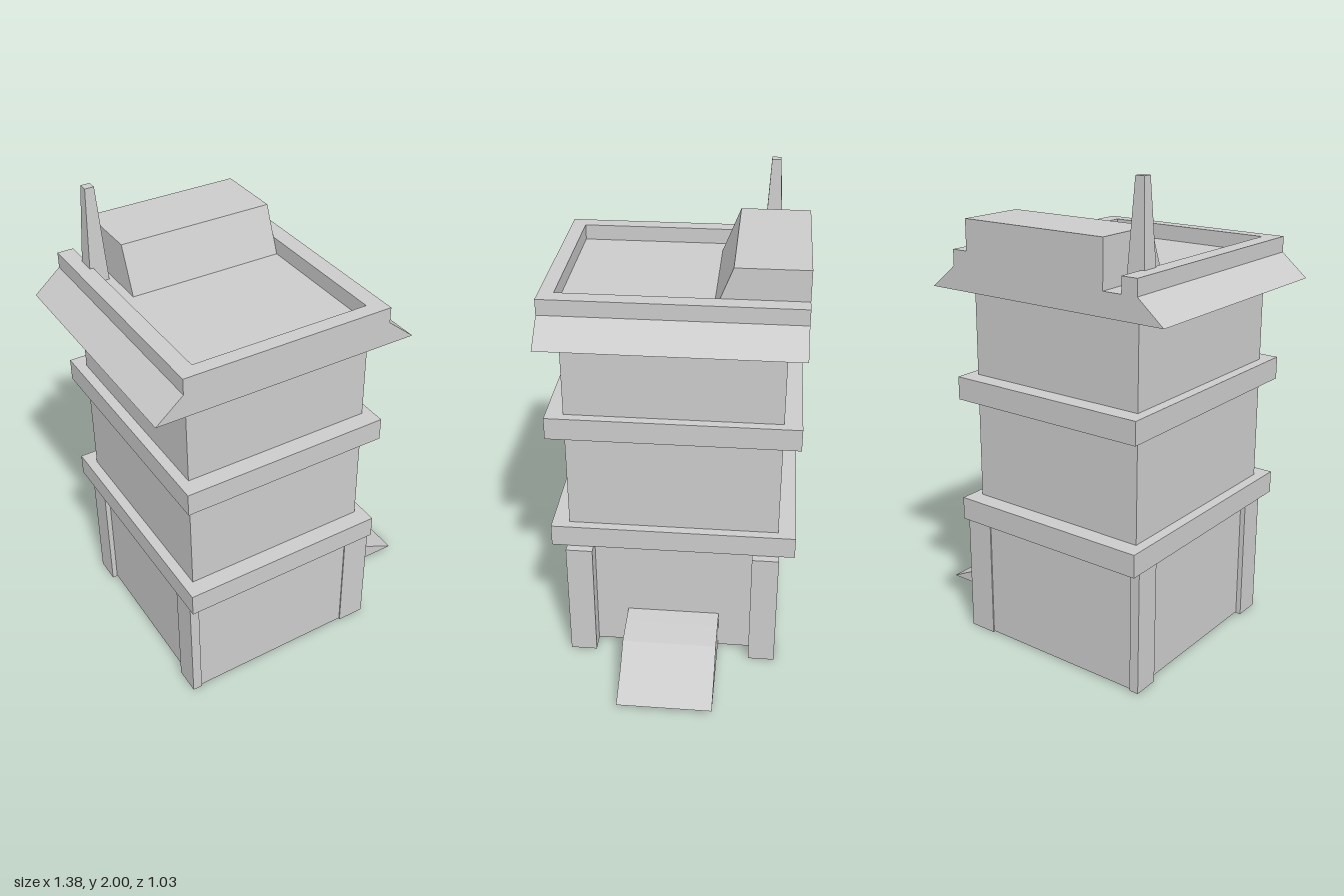
import * as THREE from 'three';

const grey = new THREE.MeshStandardMaterial({ color: 0xcccccc, flatShading: true });
const shellGrey = new THREE.MeshStandardMaterial({ color: 0xcccccc, side: THREE.DoubleSide });

export function createModel() {
  const model = new THREE.Group();

  const add = (name, geometry, material = grey) => {
    const mesh = new THREE.Mesh(geometry, material);
    mesh.name = name;
    model.add(mesh);
    return mesh;
  };

  // Box given by its limits on each axis
  const box = (name, [x0, x1], [y0, y1], [z0, z1]) => {
    const mesh = add(name, new THREE.BoxGeometry(x1 - x0, y1 - y0, z1 - z0));
    mesh.position.set((x0 + x1) / 2, (y0 + y1) / 2, (z0 + z1) / 2);
  };

  // Outline in x and y, extruded from z0 to z1
  const prism = (name, points, z0, z1) => {
    const shape = new THREE.Shape(points.map(([x, y]) => new THREE.Vector2(x, y)));
    const geometry = new THREE.ExtrudeGeometry(shape, { depth: z1 - z0, bevelEnabled: false });
    return add(name, geometry.translate(0, 0, z0));
  };

  const bodyX = [-0.535, 0.255], ledgeX = [-0.578, 0.295], depth = [-0.515, 0.515];

  // Upper storeys and the ledges around them
  box('upperStoreys', bodyX, [0.54, 1.515], [-0.442, 0.442]);
  box('lowerLedge', ledgeX, [0.54, 0.635], depth);
  box('upperLedge', ledgeX, [1.065, 1.16], depth);

  // Ground storey: thin walls, open underneath
  const t = 0.015;
  box('leftWall', [0.255 - t, 0.255], [0.005, 0.54], [-0.442, 0.442]);
  box('rightWall', [-0.535, -0.535 + t], [0.005, 0.54], [-0.442, 0.442]);
  for (const s of [-1, 1]) {
    const span = (a, b) => [Math.min(s * a, s * b), Math.max(s * a, s * b)];
    box(s > 0 ? 'frontWall' : 'backWall', bodyX, [0.005, 0.54], span(0.445 - t, 0.445));
    // Corner pillars
    box('leftPillar', [0.21, 0.33], [0, 0.54], span(0.337, 0.45));
    box('rightPillar', [-0.557, -0.517], [0, 0.54], span(0.337, 0.45));
  }

  // Entrance ramp: a hollow shell of a top strip and two side walls
  const profile = [[0.24, 0.182], [0.33, 0.175], [0.45, 0.163], [0.5, 0.122], [0.55, 0.085], [0.62, 0.052], [0.685, 0.02]];
  for (let i = 0; i < profile.length - 1; i++) {
    const [xa, ya] = profile[i], [xb, yb] = profile[i + 1];
    const strip = new THREE.PlaneGeometry(Math.hypot(xb - xa, yb - ya), 0.4);
    strip.rotateX(-Math.PI / 2).rotateZ(Math.atan2(yb - ya, xb - xa));
    add('rampTop', strip.translate((xa + xb) / 2, (ya + yb) / 2, 0), shellGrey);
  }
  const side = new THREE.Shape([[0.24, 0.02], ...profile].map(([x, y]) => new THREE.Vector2(x, y)));
  for (const z of [-0.2, 0.2]) add('rampSide', new THREE.ShapeGeometry(side), shellGrey).position.z = z;

  // Roof slab with flared sides, and the low wall on three edges
  prism('roofEaves', [[-0.69, 1.515], [0.41, 1.515], [0.295, 1.61], [-0.578, 1.61]], ...depth);
  box('rightParapet', [-0.578, -0.51], [1.61, 1.675], depth);
  box('leftParapet', [0.225, 0.295], [1.61, 1.675], depth);
  box('frontParapet', [-0.51, 0.225], [1.61, 1.675], [0.455, 0.515]);

  // Rooftop hut with a sloping front; the outline is in z and y, turned across the roof
  const hut = prism('rooftopHut', [[0.15, 1.61], [0.515, 1.61], [0.515, 1.8], [0.225, 1.8]], -0.43, 0.225);
  hut.geometry.rotateY(Math.PI / 2);

  // Tapered square mast
  const mast = new THREE.CylinderGeometry(0.019 * Math.SQRT2, 0.04 * Math.SQRT2, 0.39, 4);
  add('mast', mast.rotateY(Math.PI / 4)).position.set(-0.488, 1.805, -0.363);

  return model;
}
